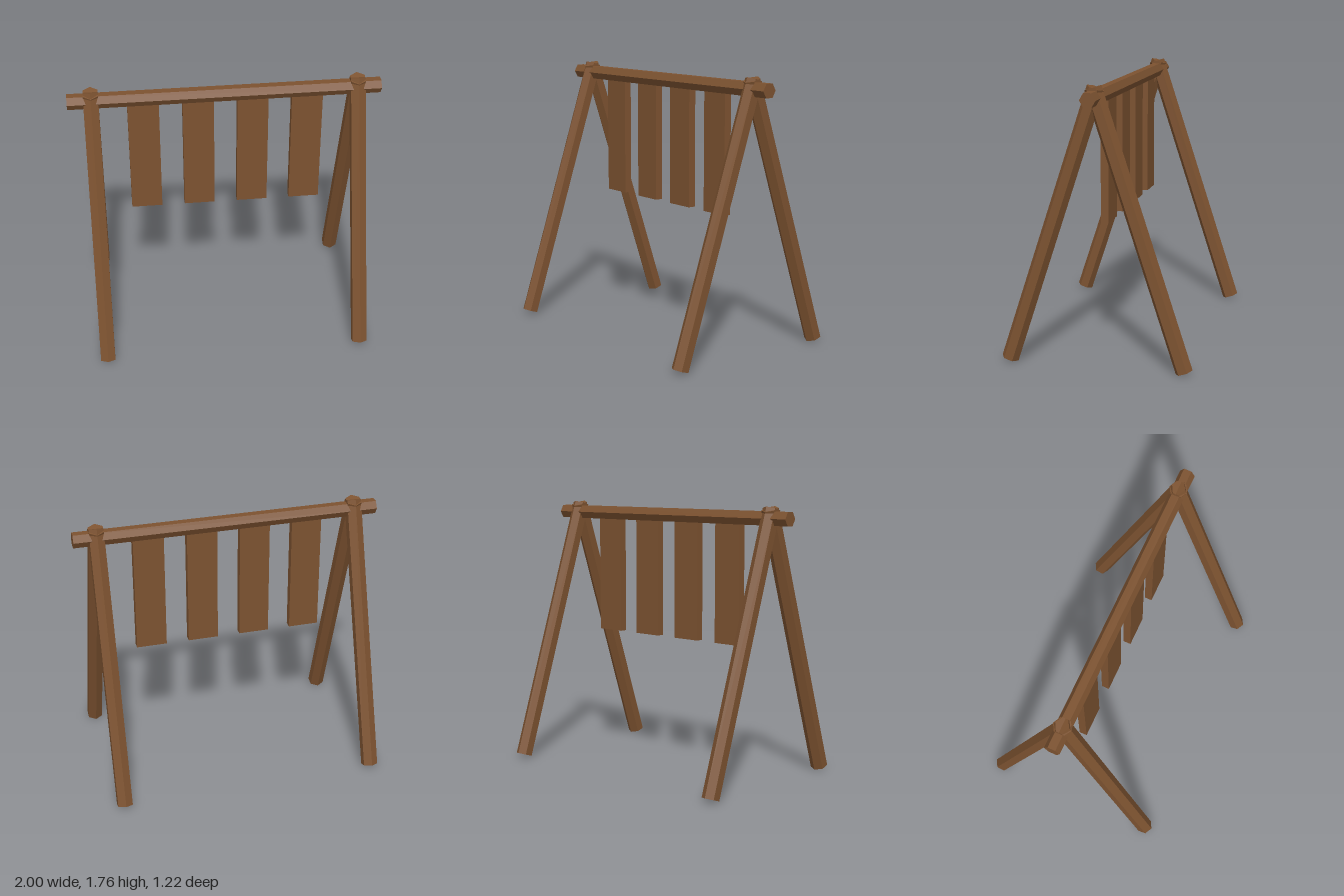
import * as THREE from 'three';

const wood = new THREE.MeshStandardMaterial({ color: 0x7c5230 });
wood.name = 'brown wood';

// Six-sided log with crisp facets, standing along y
function logGeometry(radius, length) {
  const g = new THREE.CylinderGeometry(radius, radius, length, 6).toNonIndexed();
  g.computeVertexNormals();
  return g;
}

function addPart(group, name, geometry, x, y, z) {
  const mesh = new THREE.Mesh(geometry, wood);
  mesh.name = name;
  mesh.position.set(x, y, z);
  group.add(mesh);
  return mesh;
}

export function createModel() {
  const group = new THREE.Group();
  group.name = 'frameWithHangingSlats';

  // Crossbar
  const beam = addPart(group, 'crossbar', logGeometry(0.05, 2), 0, 1.68, 0);
  beam.rotation.z = Math.PI / 2;

  // Two pairs of legs, crossing just above the crossbar
  const footZ = 0.558, topZ = -0.008, footY = 0.017, topY = 1.738;
  const legGeometry = logGeometry(0.055, Math.hypot(footZ - topZ, topY - footY));
  const tilt = Math.atan2(footZ - topZ, topY - footY);
  for (const side of [1, -1]) {
    for (const end of [1, -1]) {
      const name = (side > 0 ? 'left' : 'right') + (end > 0 ? 'FrontLeg' : 'BackLeg');
      const leg = addPart(group, name, legGeometry,
        side * 0.85, (footY + topY) / 2, end * (footZ + topZ) / 2);
      leg.rotation.x = -end * tilt;
    }
  }

  // Hanging slats, tucked into the crossbar
  const slatGeometry = new THREE.BoxGeometry(0.2, 0.8, 0.05);
  for (let i = 0; i < 4; i++) {
    addPart(group, 'hangingSlat' + (i + 1), slatGeometry, -0.525 + i * 0.35, 1.267, 0);
  }

  return group;
}
